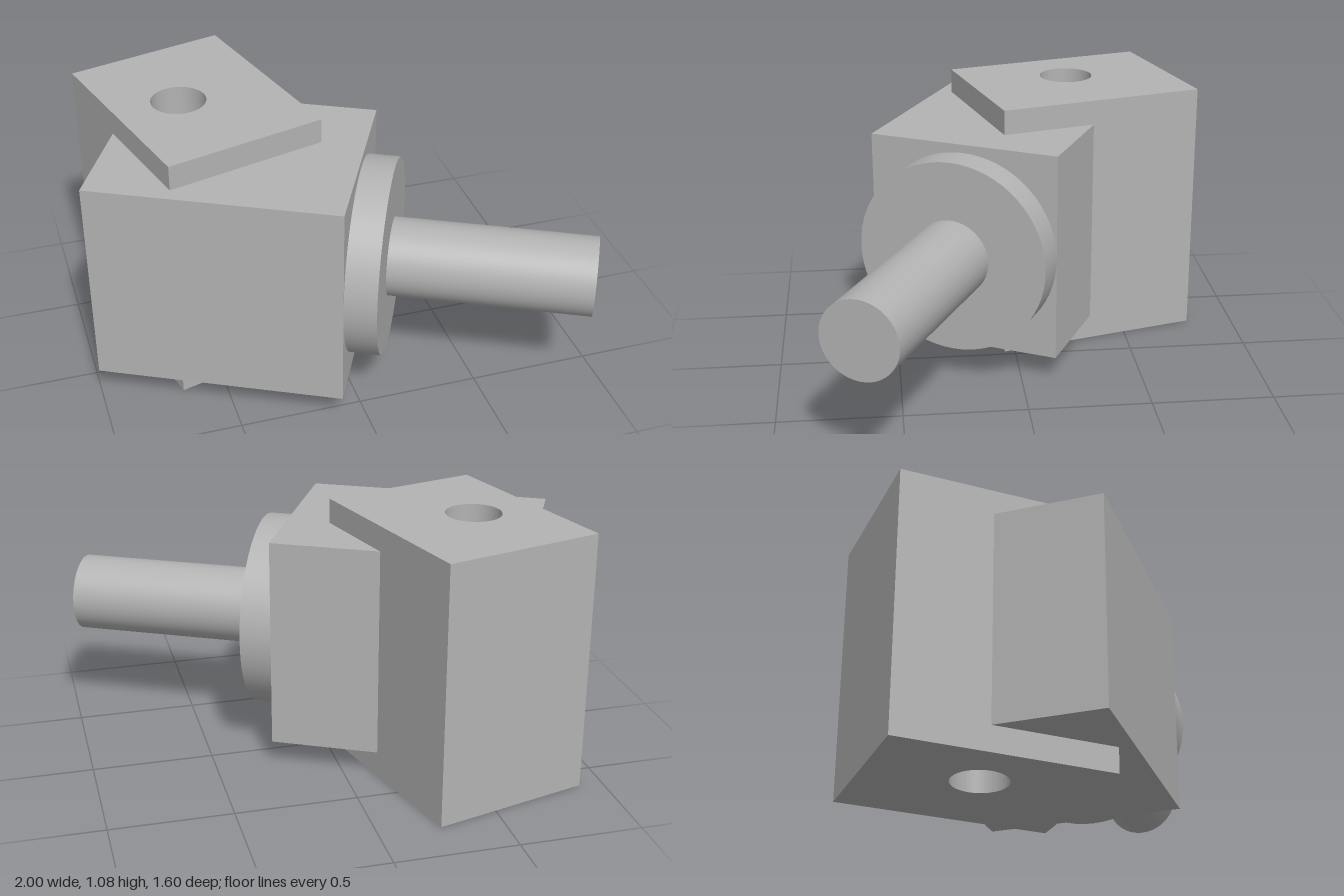
import * as THREE from 'three';

const HOLE = { x: -0.53, z: -0.275, r: 0.113 };
const MID_Y = 0.542;

// Upright block with a vertical bore; placed by centre and yaw, bore given in world x/z.
function boredBlock(name, cx, cz, width, depth, y0, y1, yaw, material) {
  const dx = HOLE.x - cx, dz = HOLE.z - cz;
  const hx = dx * Math.cos(yaw) - dz * Math.sin(yaw);
  const hz = dx * Math.sin(yaw) + dz * Math.cos(yaw);
  const w = width / 2, d = depth / 2;
  const shape = new THREE.Shape();
  shape.moveTo(-w, -d).lineTo(w, -d).lineTo(w, d).lineTo(-w, d).closePath();
  const bore = new THREE.Path();
  bore.absarc(hx, -hz, HOLE.r, 0, Math.PI * 2, true);
  shape.holes.push(bore);
  const geometry = new THREE.ExtrudeGeometry(shape, { depth: y1 - y0, bevelEnabled: false, curveSegments: 32 });
  geometry.rotateX(-Math.PI / 2);
  const mesh = new THREE.Mesh(geometry, material);
  mesh.name = name;
  mesh.position.set(cx, y0, cz);
  mesh.rotation.y = yaw;
  return mesh;
}

// Cylinder lying along x, from x0 to x1.
function rod(name, radius, x0, x1, material) {
  const geometry = new THREE.CylinderGeometry(radius, radius, x1 - x0, 64);
  geometry.rotateZ(-Math.PI / 2);
  const mesh = new THREE.Mesh(geometry, material);
  mesh.name = name;
  mesh.position.x = (x0 + x1) / 2;
  return mesh;
}

export function createModel() {
  const metal = new THREE.MeshStandardMaterial({ color: 0xb3b3b3 });
  metal.name = 'grey metal';
  const model = new THREE.Group();
  model.name = 'pivotJoint';

  // Tall bracket holding the pivot
  model.add(boredBlock('bracket', -0.464, -0.2925, 0.674, 0.876, 0, 1.083, THREE.MathUtils.degToRad(15), metal));

  // Swinging block, whose outer face carries the flange and shaft
  const yaw = THREE.MathUtils.degToRad(-27.2);
  const face = { x: 0.083, z: 0.222 };
  const length = 1.013;
  model.add(boredBlock('swivelBlock',
    face.x - Math.cos(yaw) * length / 2, face.z + Math.sin(yaw) * length / 2,
    length, 0.808, 0.105, 0.98, yaw, metal));

  const arm = new THREE.Group();
  arm.name = 'arm';
  arm.position.set(face.x, MID_Y, face.z);
  arm.rotation.y = yaw;
  arm.add(rod('flange', 0.404, 0, 0.13, metal), rod('shaft', 0.161, 0.13, 0.946, metal));
  model.add(arm);
  return model;
}
